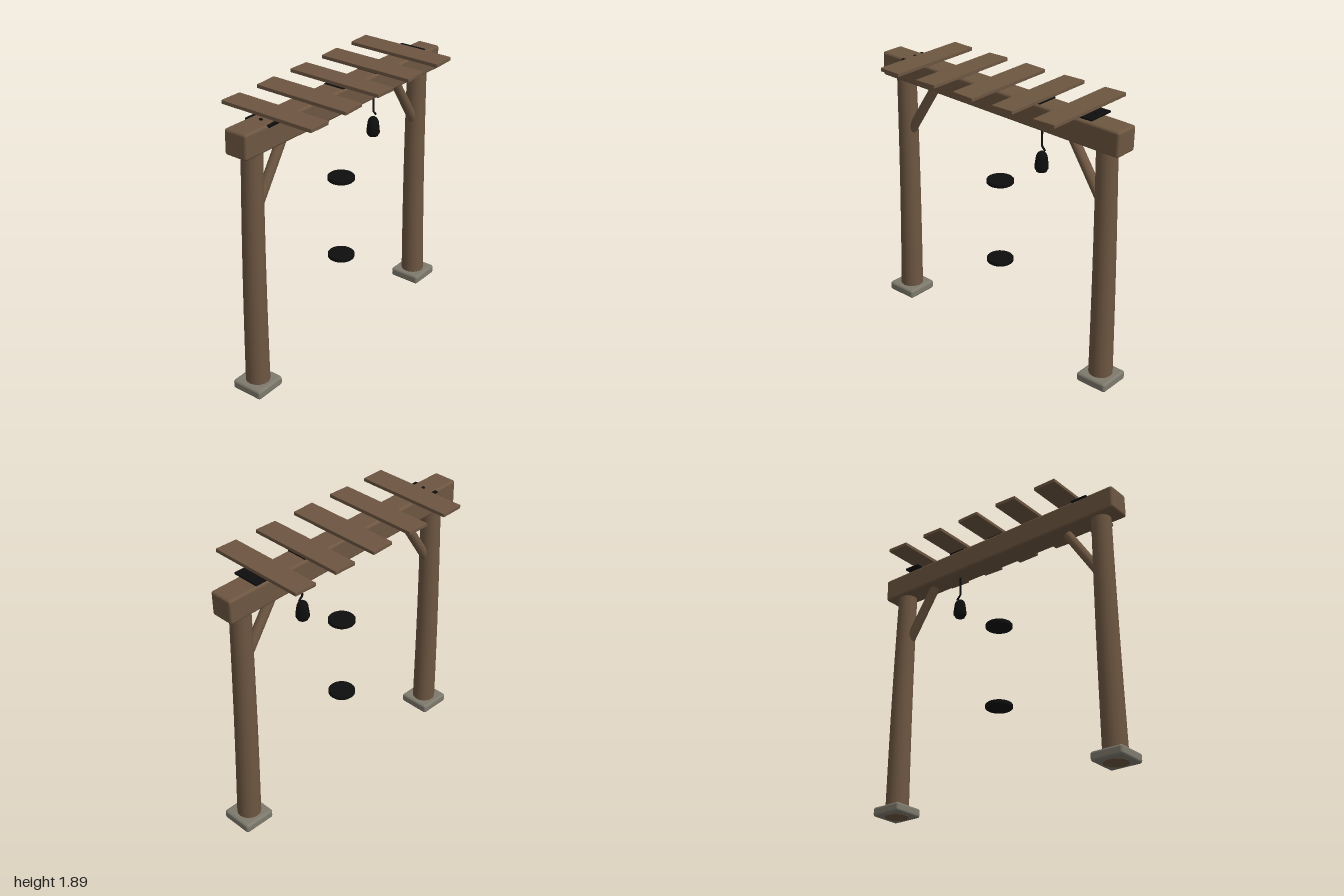
import * as THREE from 'three';
import { RoundedBoxGeometry } from 'three/addons/geometries/RoundedBoxGeometry.js';

export function createModel() {
  const model = new THREE.Group();
  model.name = 'timberGate';
  const material = (name, color) => {
    const m = new THREE.MeshStandardMaterial({ color });
    m.name = name;
    return m;
  };
  const wood = material('wood', 0x6d5641);
  const stone = material('stone', 0x7d796c);
  const iron = material('blackIron', 0x0e0e0e);

  const add = (name, geometry, mat, x = 0, y = 0, z = 0) => {
    const mesh = new THREE.Mesh(geometry, mat);
    mesh.name = name;
    mesh.position.set(x, y, z);
    model.add(mesh);
    return mesh;
  };

  // Round timber between two points
  const pole = (name, a, b, rBottom, rTop) => {
    const dir = b.clone().sub(a);
    const mesh = add(name, new THREE.CylinderGeometry(rTop, rBottom, dir.length(), 16), wood);
    mesh.position.copy(a).add(b).multiplyScalar(0.5);
    mesh.quaternion.setFromUnitVectors(new THREE.Vector3(0, 1, 0), dir.normalize());
  };

  // Post that leans inwards and bows slightly backwards
  const postGeometry = (side) => {
    const height = 1.72;
    const g = new THREE.CylinderGeometry(0.067, 0.081, height, 20, 10);
    const p = g.attributes.position;
    for (let i = 0; i < p.count; i++) {
      const y = p.getY(i) + height / 2;
      const t = y / height;
      p.setXYZ(i, p.getX(i) + side * (0.883 - 0.03 * t), y, p.getZ(i) - 0.007 * Math.sin(Math.PI * t));
    }
    return g;
  };

  for (const side of [-1, 1]) {
    const prefix = side > 0 ? 'left' : 'right';
    add(prefix + 'Footing', new RoundedBoxGeometry(0.23, 0.065, 0.23, 3, 0.018), stone, side * 0.885, 0.0375, 0);
    add(prefix + 'Post', postGeometry(side), wood, 0, 0.003, 0);
    pole(prefix + 'Brace',
      new THREE.Vector3(side * 0.86, 1.26, 0), new THREE.Vector3(side * 0.587, 1.676, 0), 0.034, 0.033);
    // Iron strap and bolt lying level across the sloping beam
    add(prefix + 'Strap', new THREE.BoxGeometry(0.12, 0.012, 0.19), iron, side * 0.74, 1.858, 0);
    add(prefix + 'Bolt', new THREE.SphereGeometry(0.012, 10, 8), iron, side * 0.765, 1.865, 0);
  }

  // Sloping top beam
  const beam = add('beam', new RoundedBoxGeometry(1.99, 0.168, 0.17, 3, 0.018), wood, 0, 1.766, 0);
  beam.rotation.z = -0.02;

  // Roof planks, each slightly crooked
  const tilts = [-0.02, 0.02, -0.03, 0.02, 0.02];
  tilts.forEach((tilt, i) => {
    const plank = add('plank' + (i + 1), new RoundedBoxGeometry(0.163, 0.025, 0.7, 1, 0.003), wood,
      -0.647 + i * 0.323, 1.874, 0);
    plank.rotation.z = tilt;
  });

  // Thin pads under two of the planks
  for (const x of [-0.02, 0.33]) {
    add('plankPad', new THREE.BoxGeometry(0.12, 0.01, 0.15), iron, x, 1.849, 0);
  }

  // Hanging hook
  const hookPath = new THREE.CurvePath();
  const points = [[0.35, 1.7], [0.35, 1.535], [0.378, 1.505]].map(([x, y]) => new THREE.Vector3(x, y, 0));
  hookPath.add(new THREE.LineCurve3(points[0], points[1]));
  hookPath.add(new THREE.LineCurve3(points[1], points[2]));
  add('hook', new THREE.TubeGeometry(hookPath, 24, 0.007, 8), iron);

  // Lantern body
  const profile = [[0, 0], [0.034, 0], [0.038, 0.01], [0.046, 0.022], [0.045, 0.045], [0.041, 0.075],
    [0.037, 0.105], [0.028, 0.124], [0.014, 0.135], [0, 0.137]].map(([r, y]) => new THREE.Vector2(r, y));
  add('lantern', new THREE.LatheGeometry(profile, 16), iron, 0.35, 1.36, 0);

  // Floating rings, solid with a softened rim
  const disc = [[0, -0.016], [0.086, -0.016], [0.092, -0.01], [0.092, 0.01], [0.086, 0.016], [0, 0.016]]
    .map(([r, y]) => new THREE.Vector2(r, y));
  for (const y of [0.592, 1.181]) add('disc', new THREE.LatheGeometry(disc, 24), iron, 0, y, 0);

  return model;
}
